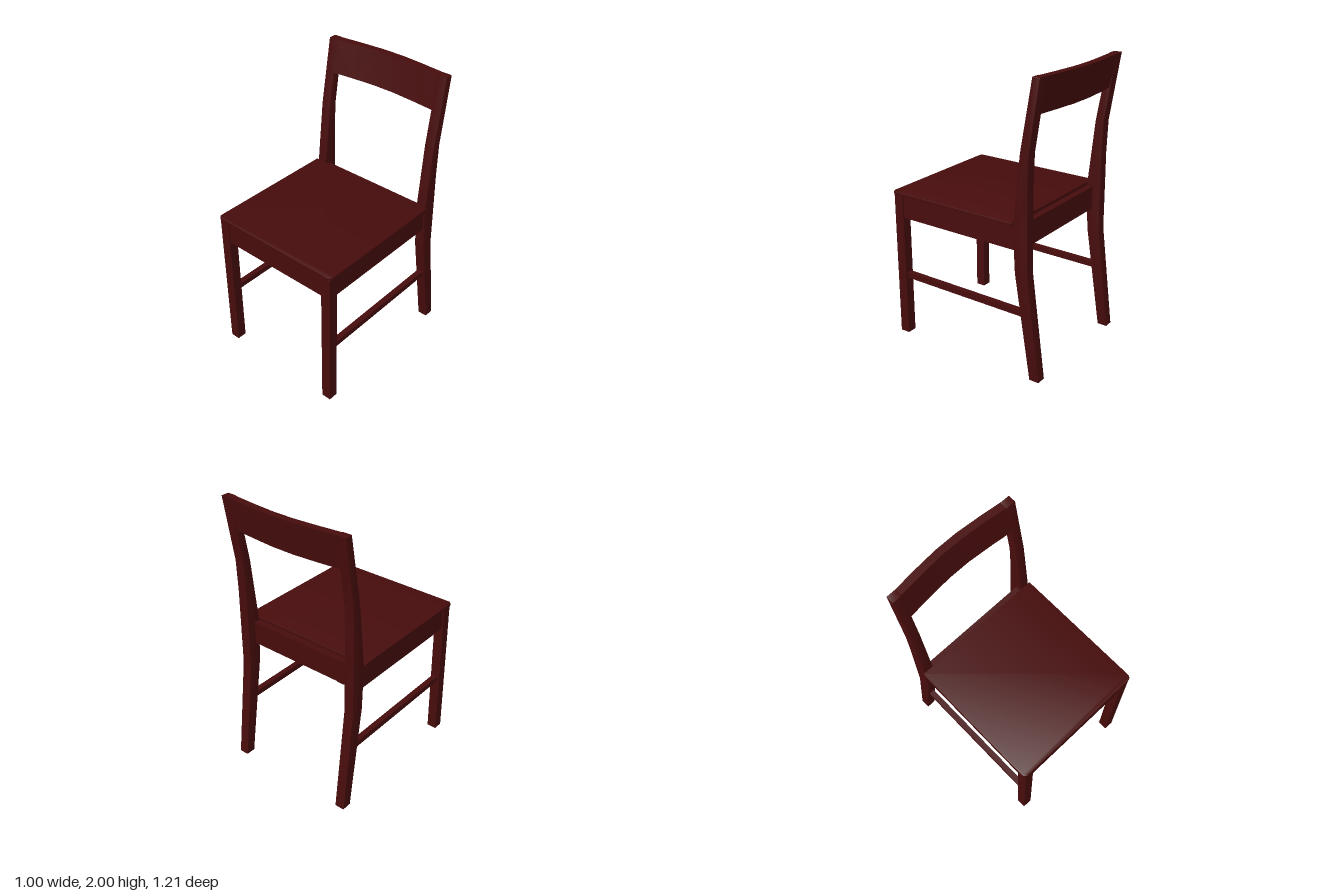
import * as THREE from 'three';
import { toCreasedNormals } from 'three/addons/utils/BufferGeometryUtils.js';
import { RoundedBoxGeometry } from 'three/addons/geometries/RoundedBoxGeometry.js';

export function createModel() {
  const chair = new THREE.Group();
  chair.name = 'chair';
  const wood = new THREE.MeshStandardMaterial({ color: 0x470c0c });
  wood.name = 'dark red wood';

  function add(name, geometry, x = 0, y = 0, z = 0) {
    const mesh = new THREE.Mesh(geometry, wood);
    mesh.name = name;
    mesh.position.set(x, y, z);
    chair.add(mesh);
    return mesh;
  }

  // Box given by its limits on each axis
  function block(name, [x0, x1], [y0, y1], [z0, z1]) {
    add(name, new THREE.BoxGeometry(x1 - x0, y1 - y0, z1 - z0),
      (x0 + x1) / 2, (y0 + y1) / 2, (z0 + z1) / 2);
  }

  // Extrusion with a small bevel that stays inside the outline
  function extrude(shape, depth, bevel) {
    return new THREE.ExtrudeGeometry(shape, {
      depth: depth - 2 * bevel, curveSegments: 6, bevelEnabled: bevel > 0,
      bevelSize: bevel, bevelThickness: bevel, bevelOffset: -bevel, bevelSegments: 2,
    }).translate(0, 0, bevel - depth / 2);
  }

  // Seat board, rounded at the front corners
  const w = 0.5, front = -0.603, back = 0.387, r = 0.035;
  const seat = new THREE.Shape();
  seat.moveTo(-w, back);
  seat.lineTo(-w, front + r);
  seat.quadraticCurveTo(-w, front, -w + r, front);
  seat.lineTo(w - r, front);
  seat.quadraticCurveTo(w, front, w, front + r);
  seat.lineTo(w, back);
  seat.closePath();
  add('seat', toCreasedNormals(extrude(seat, 0.026, 0.006).rotateX(-Math.PI / 2), 0.7), 0, 1.067, 0);

  // Side profile of the bent back legs, as (z, y)
  const legProfile = new THREE.Shape([
    [-0.52, 0], [-0.402, 0.74], [-0.386, 1.05], [-0.435, 1.53], [-0.517, 2],
    [-0.572, 2], [-0.498, 1.53], [-0.491, 1.3], [-0.495, 0.74], [-0.59, 0],
  ].map(([z, y]) => new THREE.Vector2(z, y)));
  const backLeg = toCreasedNormals(extrude(legProfile, 0.072, 0.004).rotateY(-Math.PI / 2), 0.4);
  const frontLeg = new RoundedBoxGeometry(0.072, 1.055, 0.072, 2, 0.004);

  // Legs, side aprons and stretchers on both sides
  for (const [side, s] of [['left', 1], ['right', -1]]) {
    const span = (a, b) => (s > 0 ? [a, b] : [-b, -a]);
    add(side + 'BackLeg', backLeg, s * 0.451, 0, 0);
    add(side + 'FrontLeg', frontLeg, s * 0.451, 0.5275, 0.561);
    block(side + 'Apron', span(0.433, 0.477), [0.89, 1.055], [-0.41, 0.53]);
    block(side + 'Stretcher', span(0.431, 0.471), [0.435, 0.475], [-0.47, 0.53]);
  }

  // Front and back aprons
  block('frontApron', [-0.42, 0.42], [0.89, 1.055], [0.543, 0.587]);
  block('backApron', [-0.42, 0.42], [0.89, 1.055], [-0.432, -0.384]);

  // Curved top rail, leaning back with the legs
  const curve = [[-0.42, 0.573], [-0.25, 0.591], [-0.08, 0.604], [0.08, 0.604], [0.25, 0.591], [0.42, 0.573]];
  const rail = new THREE.Shape([
    ...curve.map(([x, d]) => new THREE.Vector2(x, d - 0.052)),
    ...curve.map(([x, d]) => new THREE.Vector2(x, d)).reverse(),
  ]);
  const railGeometry = extrude(rail, 0.23, 0).rotateX(-Math.PI / 2);
  const p = railGeometry.attributes.position;
  for (let i = 0; i < p.count; i++) p.setZ(i, p.getZ(i) + (0.115 - p.getY(i)) * 0.195);
  add('topRail', toCreasedNormals(railGeometry, 0.4), 0, 1.884, 0);

  return chair;
}
